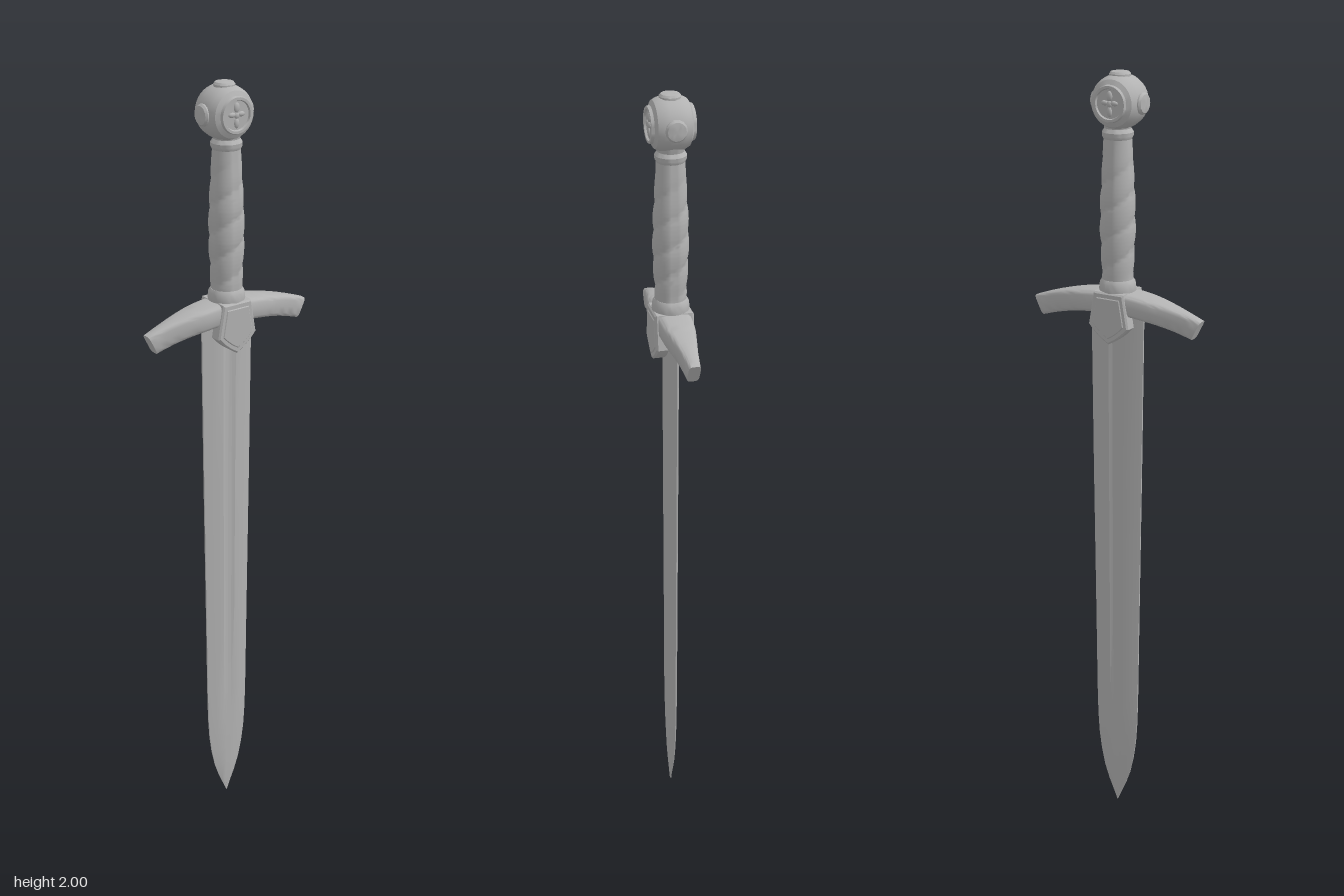
import * as THREE from 'three';
import { toCreasedNormals } from 'three/addons/utils/BufferGeometryUtils.js';

const steel = new THREE.MeshStandardMaterial({ color: 0xb2b2b2 });
steel.name = 'grey steel';

function add(parent, name, geometry, x = 0, y = 0, z = 0) {
  const mesh = new THREE.Mesh(geometry, steel);
  mesh.name = name;
  mesh.position.set(x, y, z);
  parent.add(mesh);
  return mesh;
}

// Skin closed cross-sections (counter-clockwise about the direction of travel) and cap both ends.
function loft(rings, crease) {
  const n = rings[0].length, last = (rings.length - 1) * n, index = [];
  for (let i = 0; i < rings.length - 1; i++) {
    for (let j = 0; j < n; j++) {
      const k = (j + 1) % n, a = i * n + j, b = i * n + k;
      index.push(a, b, b + n, a, b + n, a + n);
    }
  }
  const points = rings.flat();
  const centre = (ring) => ring[0].map((_, c) => ring.reduce((s, p) => s + p[c], 0) / n);
  points.push(centre(rings[0]), centre(rings[rings.length - 1]));
  for (let j = 0; j < n; j++) {
    const k = (j + 1) % n;
    index.push(points.length - 2, k, j, points.length - 1, last + j, last + k);
  }
  const g = new THREE.BufferGeometry();
  g.setAttribute('position', new THREE.Float32BufferAttribute(points.flat(), 3));
  g.setIndex(index);
  return toCreasedNormals(g, crease);
}

// Linear interpolation in a list of [position, value]
function sample(table, t) {
  let i = 0;
  while (i < table.length - 2 && t > table[i + 1][0]) i++;
  const [a, va] = table[i], [b, vb] = table[i + 1];
  return va + (vb - va) * THREE.MathUtils.clamp((t - a) / (b - a), 0, 1);
}

function lathe(profile, sides) {
  const g = new THREE.LatheGeometry(profile.map(([r, y]) => new THREE.Vector2(r, y)), sides);
  return toCreasedNormals(g, 0.55);
}

// Double-edged blade with a shallow fuller that fades out towards the tip
function bladeGeometry() {
  const widths = [[0, 0.001], [0.03, 0.014], [0.06, 0.027], [0.1, 0.041], [0.15, 0.052],
    [0.2, 0.059], [0.26, 0.063], [0.34, 0.065], [0.6, 0.068], [1, 0.073], [1.43, 0.077]];
  const across = [-0.97, -0.6, -0.25, -0.13, 0, 0.13, 0.25, 0.6, 0.97];
  const depth = [0.15, 0.7, 1, 0.75, 0.6, 0.75, 1, 0.7, 0.15];
  const rings = widths.map(([y, w]) => {
    const thick = sample([[0, 0.002], [0.08, 0.007], [0.3, 0.012], [1.43, 0.014]], y);
    const fuller = sample([[0.2, 0], [0.36, 1]], y);
    const side = (s) => across.map((t, i) => {
      const ridge = Math.abs(t) < 0.2 ? 1 : depth[i];
      return [t * w, y, s * thick * THREE.MathUtils.lerp(ridge, depth[i], fuller)];
    });
    return [...side(1), ...side(-1).reverse()];
  });
  return loft(rings, 0.5);
}

// Drooping crossguard, wide at the middle and narrow at the ends
function guardGeometry() {
  const rings = [];
  for (let i = 0; i <= 28; i++) {
    const u = i / 14 - 1, d = Math.abs(u);
    const x = 0.224 * u, y = 1.446 - 0.043 * Math.pow(d, 1.9);
    const tilt = -Math.sign(u) * 0.46 * Math.pow(d, 0.9);
    const high = 0.029 - 0.002 * d;
    const deep = sample([[0, 0.045], [0.4, 0.039], [0.8, 0.021], [1, 0.015]], d);
    const ring = [];
    for (let j = 0; j < 20; j++) {
      const a = j / 20 * Math.PI * 2;
      const round = (v) => Math.sign(v) * Math.pow(Math.abs(v), 0.45);
      const h = high * round(Math.cos(a));
      ring.push([x - h * Math.sin(tilt), y + h * Math.cos(tilt), deep * round(Math.sin(a))]);
    }
    rings.push(ring);
  }
  return loft(rings, 0.7);
}

// Swelling grip with spiral wrapping
function gripGeometry() {
  const radius = [[1.49, 0.038], [1.53, 0.040], [1.62, 0.044], [1.7, 0.043], [1.78, 0.038], [1.86, 0.033]];
  const rings = [];
  for (let i = 0; i <= 72; i++) {
    const y = 1.49 + 0.37 * i / 72;
    const wrap = sample([[1.5, 0], [1.53, 1], [1.74, 1], [1.82, 0.15]], y);
    const ring = [];
    for (let j = 0; j < 32; j++) {
      const a = j / 32 * Math.PI * 2;
      const groove = 1 - Math.sqrt(Math.abs(Math.sin(Math.PI * (y / 0.07 - a / Math.PI))));
      const r = sample(radius, y) * (1 - 0.11 * wrap * groove);
      ring.push([r * Math.sin(a), y, r * Math.cos(a)]);
    }
    rings.push(ring);
  }
  return loft(rings, 1);
}

// Shield-shaped plate with a raised inner face
function shieldGeometry(scale, depth) {
  const s = new THREE.Shape();
  s.moveTo(-0.038 * scale, 0.058 * scale);
  s.lineTo(0.038 * scale, 0.058 * scale);
  s.lineTo(0.052 * scale, -0.022 * scale);
  s.quadraticCurveTo(0.03 * scale, -0.048 * scale, 0, -0.064 * scale);
  s.quadraticCurveTo(-0.03 * scale, -0.048 * scale, -0.052 * scale, -0.022 * scale);
  s.closePath();
  return new THREE.ExtrudeGeometry(s, {
    depth, bevelEnabled: true, bevelThickness: 0.004, bevelSize: 0.004, bevelSegments: 1, curveSegments: 5,
  });
}

export function createModel() {
  const sword = new THREE.Group();
  sword.name = 'sword';

  add(sword, 'blade', bladeGeometry());
  add(sword, 'crossguard', guardGeometry());

  // Shield plates on both faces of the guard
  for (const side of [1, -1]) {
    const plate = new THREE.Group();
    plate.name = side > 0 ? 'frontShield' : 'backShield';
    plate.rotation.y = side > 0 ? 0 : Math.PI;
    plate.position.y = 1.412;
    add(plate, 'shieldPlate', shieldGeometry(1, 0.026), 0, 0, 0.018);
    add(plate, 'shieldFace', shieldGeometry(0.8, 0.002), 0, 0, 0.044);
    sword.add(plate);
  }

  // Grip and its collars
  add(sword, 'grip', gripGeometry());
  add(sword, 'lowerCollar', lathe([[0, 1.46], [0.044, 1.46], [0.046, 1.478], [0.044, 1.494], [0.039, 1.502], [0, 1.502]], 28));
  add(sword, 'upperCollar', lathe([[0, 1.842], [0.034, 1.842], [0.038, 1.85], [0.038, 1.858], [0.032, 1.867], [0.036, 1.885], [0, 1.885]], 28));

  // Disc pommel with rounded rim and flat faces
  const pommel = new THREE.Group();
  pommel.name = 'pommel';
  pommel.position.set(-0.006, 1.929, 0);
  sword.add(pommel);
  const disc = add(pommel, 'pommelDisc', lathe([
    [0, -0.048], [0.034, -0.048], [0.036, -0.053], [0.042, -0.053], [0.044, -0.046], [0.055, -0.04],
    [0.061, -0.028], [0.064, -0.012], [0.064, 0.012], [0.061, 0.028], [0.055, 0.04],
    [0.044, 0.046], [0.042, 0.053], [0.036, 0.053], [0.034, 0.048], [0, 0.048]], 32));
  disc.rotation.x = Math.PI / 2;

  // Studs on the top and both sides of the rim
  const stud = lathe([[0, 0.05], [0.026, 0.05], [0.026, 0.064], [0.022, 0.069], [0.012, 0.071], [0, 0.071]], 14);
  [['topStud', 0], ['rightStud', Math.PI / 2], ['leftStud', -Math.PI / 2]].forEach(([name, turn]) => {
    add(pommel, name, stud).rotation.z = turn;
  });

  // Small carved bud on each face
  const bead = new THREE.SphereGeometry(1, 12, 8);
  for (const side of [1, -1]) {
    for (const [x, y, w, h] of [[0, 0.018, 0.008, 0.012], [0, -0.018, 0.007, 0.012],
      [0.013, 0.002, 0.01, 0.006], [-0.013, 0.002, 0.01, 0.006], [0, 0, 0.007, 0.008]]) {
      add(pommel, 'carvedBud', bead, x, y, side * 0.048).scale.set(w, h, 0.005);
    }
  }
  return sword;
}
